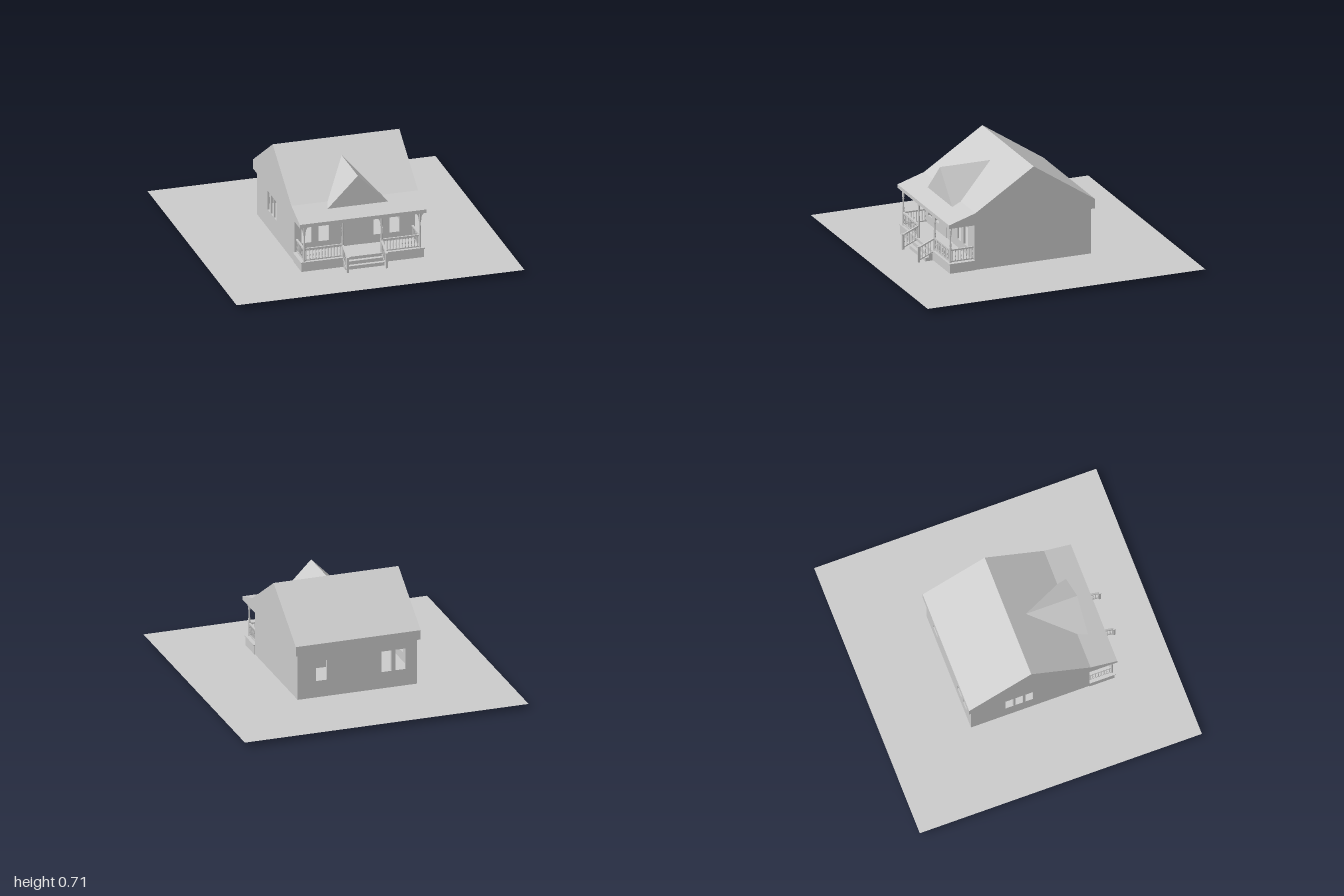
import * as THREE from 'three';

const mat = new THREE.MeshStandardMaterial({ color: 0xcccccc });
const flat = new THREE.MeshStandardMaterial({ color: 0xcccccc, side: THREE.DoubleSide });
const BASE = 0.033, EAVE = 0.355, DECK = 0.102;

function add(parent, name, geometry, x = 0, y = 0, z = 0, material = mat) {
  const mesh = new THREE.Mesh(geometry, material);
  mesh.name = name;
  mesh.position.set(x, y, z);
  parent.add(mesh);
  return mesh;
}

// Box given by its low and high corners
function block(parent, name, [x0, y0, z0], [x1, y1, z1]) {
  return add(parent, name, new THREE.BoxGeometry(x1 - x0, y1 - y0, z1 - z0),
    (x0 + x1) / 2, (y0 + y1) / 2, (z0 + z1) / 2);
}

// Square bar between two points in a vertical plane
function bar(parent, name, a, b, w, h) {
  const p = new THREE.Vector3(...a), q = new THREE.Vector3(...b);
  const mesh = add(parent, name, new THREE.BoxGeometry(w, h, p.distanceTo(q)));
  mesh.position.copy(p).add(q).multiplyScalar(0.5);
  mesh.lookAt(q);
  return mesh;
}

const polygon = (pts) => new THREE.Shape(pts.map(([x, y]) => new THREE.Vector2(x, y)));
const extrude = (shape, depth) =>
  new THREE.ExtrudeGeometry(shape, { depth, bevelEnabled: false, curveSegments: 6 });
const rect = (x0, y0, x1, y1) => [[x0, y0], [x1, y0], [x1, y1], [x0, y1]];

// Wall panel with rectangular openings
function wallGeometry(half, openings) {
  const shape = polygon(rect(-half, BASE, half, EAVE));
  for (const o of openings) shape.holes.push(polygon(rect(...o)));
  return extrude(shape, 0.012);
}

// Profile in (z, y), swept along x and centred
function sweepX(parent, name, pts, width) {
  const mesh = add(parent, name, extrude(polygon(pts), width), width / 2);
  mesh.rotation.y = -Math.PI / 2;
  return mesh;
}

// Turned baluster of unit height
const balusterGeometry = new THREE.LatheGeometry([
  [0.0035, 0], [0.0035, 0.15], [0.002, 0.2], [0.004, 0.4], [0.002, 0.7], [0.0035, 0.8], [0.0035, 1],
].map(([r, y]) => new THREE.Vector2(r, y)), 8);

// Railing from a to b (feet of the run), with n balusters
function railing(parent, name, a, b, n, height) {
  const g = new THREE.Group();
  g.name = name;
  const lift = ([x, y, z], d) => [x, y + d, z];
  bar(g, 'bottomRail', lift(a, 0.008), lift(b, 0.008), 0.008, 0.008);
  bar(g, 'topRail', lift(a, height), lift(b, height), 0.012, 0.01);
  for (let i = 0; i < n; i++) {
    const t = (i + 0.5) / n;
    const [x, y, z] = a.map((v, k) => v + (b[k] - v) * t);
    add(g, 'baluster', balusterGeometry, x, y + 0.008, z).scale.y = height - 0.008;
  }
  parent.add(g);
}

// Turned porch post with a pair of curved brackets under the eave
const postGeometry = new THREE.LatheGeometry([
  [0.009, 0], [0.009, 0.1], [0.006, 0.106], [0.008, 0.115], [0.0065, 0.13],
  [0.005, 0.18], [0.0075, 0.187], [0.006, 0.195], [0.007, 0.2], [0.007, 0.253],
].map(([r, y]) => new THREE.Vector2(r, y)), 12);

function post(parent, x, z) {
  const g = new THREE.Group();
  g.name = 'porchPost';
  add(g, 'postShaft', postGeometry);
  const s = new THREE.Shape();
  s.moveTo(0, 0.253);
  s.lineTo(0, 0.19);
  s.lineTo(0.008, 0.19);
  s.quadraticCurveTo(0.009, 0.235, 0.026, 0.243);
  s.lineTo(0.026, 0.253);
  for (const turn of [0, Math.PI]) {
    const bracket = add(g, 'bracket', extrude(s, 0.006), 0, 0, turn ? 0.003 : -0.003);
    bracket.rotation.y = turn;
  }
  g.position.set(x, DECK, z);
  parent.add(g);
}

export function createModel() {
  const house = new THREE.Group();
  house.name = 'house';

  // Ground sheet
  add(house, 'ground', new THREE.PlaneGeometry(2, 2), 0, BASE - 0.001, 0, flat).rotation.x = -Math.PI / 2;

  // Walls with window and door openings
  add(house, 'frontWall', wallGeometry(0.42, [
    [-0.37, 0.16, -0.3, 0.295], [-0.25, 0.16, -0.18, 0.295], [-0.055, DECK, 0.055, 0.295],
    [0.13, 0.16, 0.195, 0.295], [0.24, 0.16, 0.31, 0.295],
  ]), 0, 0, 0.408);
  add(house, 'backWall', wallGeometry(0.42, [
    [-0.34, 0.15, -0.27, 0.297], [-0.24, 0.15, -0.17, 0.297], [0.215, 0.15, 0.29, 0.29],
  ]), 0, 0, -0.42);
  const sideOpenings = [-0.175, -0.105, -0.035].map((z) => [z, 0.165, z + 0.055, 0.3]);
  for (const [name, x, openings] of [['rightWall', -0.408, sideOpenings], ['leftWall', 0.42, []]]) {
    add(house, name, wallGeometry(0.408, openings), x).rotation.y = -Math.PI / 2;
  }
  block(house, 'door', [-0.055, DECK, 0.41], [0.055, 0.295, 0.417]);
  block(house, 'floor', [-0.408, BASE, -0.408], [0.408, DECK, 0.408]);
  block(house, 'partition', [0.08, DECK, -0.1], [0.408, EAVE, -0.09]);

  // Main roof with a shallower slope over the porch
  sweepX(house, 'roof', [
    [-0.44, EAVE], [0.61, EAVE], [0.61, 0.38], [0.42, 0.44], [0, 0.712], [-0.44, 0.422],
  ], 0.88);

  // Dormer gable running back into the roof
  add(house, 'dormer', extrude(polygon([[-0.21, 0.418], [0.21, 0.418], [0, 0.63]]), 0.37), 0, 0, 0.12);

  // Porch base and deck
  block(house, 'porchBase', [-0.425, BASE, 0.42], [0.425, 0.094, 0.597]);
  block(house, 'porchDeck', [-0.43, 0.094, 0.42], [0.43, DECK, 0.603]);

  // Steps, reaching just below the ground sheet
  sweepX(house, 'steps', [
    [0.6, 0.03], [0.625, 0.03], [0.625, 0.016], [0.652, 0.016], [0.652, 0], [0.68, 0], [0.68, 0.032],
    [0.652, 0.032], [0.652, 0.056], [0.627, 0.056], [0.627, 0.08], [0.6, 0.08],
  ], 0.27);

  // Posts and railings, mirrored about the middle
  const pz = 0.585;
  for (const s of [-1, 1]) {
    post(house, s * 0.402, pz);
    post(house, s * 0.135, pz);
    railing(house, 'frontRailing', [s * 0.395, DECK, pz], [s * 0.142, DECK, pz], 12, 0.088);
    railing(house, 'sideRailing', [s * 0.402, DECK, 0.42], [s * 0.402, DECK, pz - 0.006], 8, 0.088);
    railing(house, 'stairRailing', [s * 0.135, DECK - 0.012, pz], [s * 0.135, 0.04, 0.7], 6, 0.096);
    block(house, 'newelPost', [s * 0.135 - 0.007, 0.034, 0.693], [s * 0.135 + 0.007, 0.137, 0.707]);
    block(house, 'newelCap', [s * 0.135 - 0.01, 0.137, 0.69], [s * 0.135 + 0.01, 0.143, 0.71]);
  }
  return house;
}
